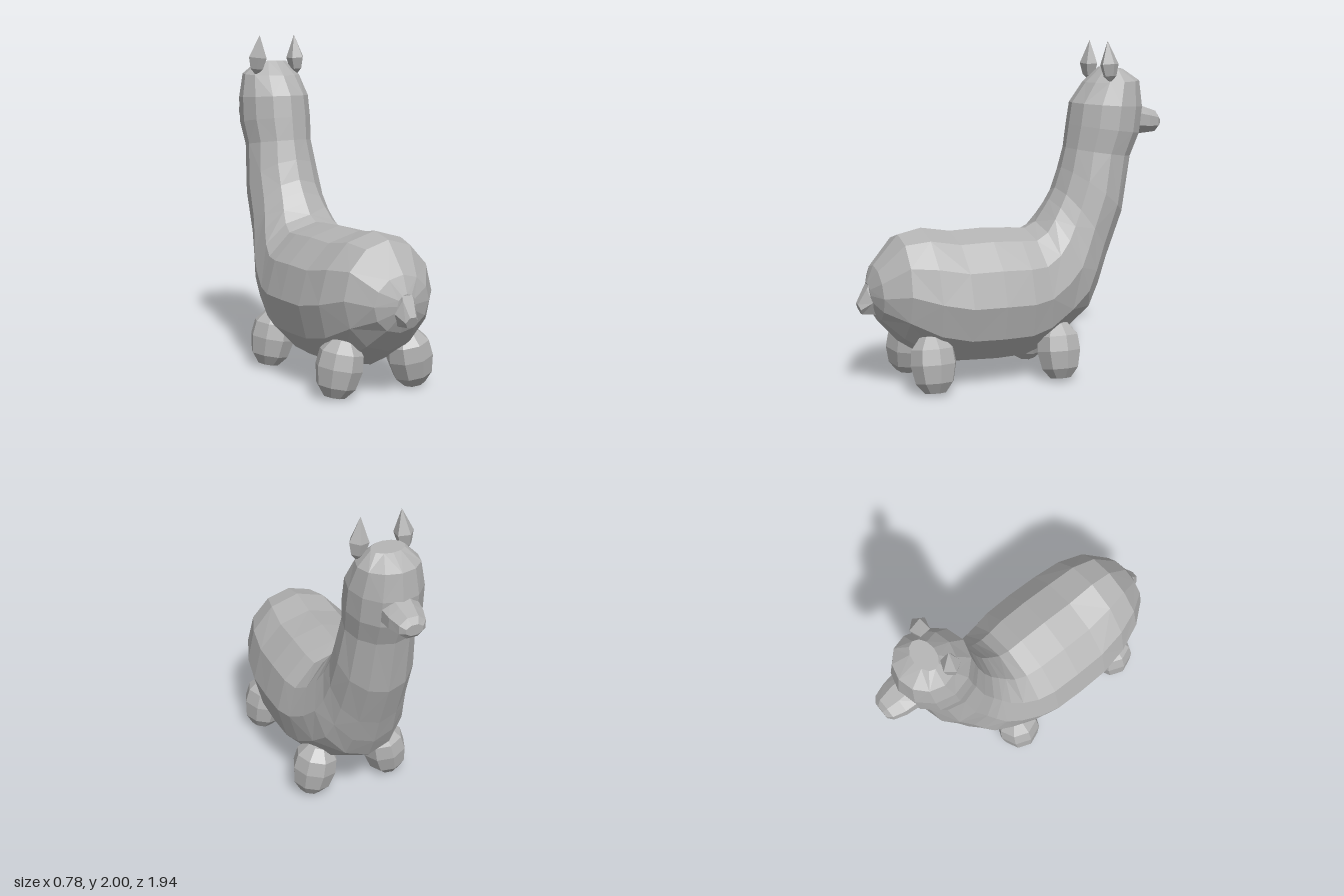
import * as THREE from 'three';

const wool = new THREE.MeshStandardMaterial({ color: 0xb3b3b3, flatShading: true });
wool.name = 'grey wool';

function part(name, geometry) {
  const mesh = new THREE.Mesh(geometry, wool);
  mesh.name = name;
  return mesh;
}

// Closed skin over rings running towards -z.
// Each ring: [top z, top y, bottom z, bottom y, half width]
function loft(rings, sides, turn = 0) {
  const pos = [], idx = [];
  for (const [tz, ty, bz, by, w] of rings) {
    for (let j = 0; j < sides; j++) {
      const a = ((j + turn) / sides) * Math.PI * 2;
      const c = Math.cos(a) / Math.cos((turn / sides) * Math.PI * 2);
      pos.push(w * Math.sin(a), (ty + by) / 2 + ((ty - by) / 2) * c, (tz + bz) / 2 + ((tz - bz) / 2) * c);
    }
  }
  const last = rings.length - 1;
  for (const i of [0, last]) {
    const [tz, ty, bz, by] = rings[i];
    pos.push(0, (ty + by) / 2, (tz + bz) / 2);
  }
  const start = rings.length * sides;
  for (let j = 0; j < sides; j++) {
    const k = (j + 1) % sides;
    for (let i = 0; i < last; i++) {
      const A = i * sides + j, B = i * sides + k, C = A + sides, D = B + sides;
      if ((i + j) % 2) idx.push(A, B, C, B, D, C);
      else idx.push(A, B, D, A, D, C);
    }
    idx.push(start, k, j, start + 1, last * sides + j, last * sides + k);
  }
  const g = new THREE.BufferGeometry();
  g.setAttribute('position', new THREE.Float32BufferAttribute(pos, 3));
  g.setIndex(idx);
  g.computeVertexNormals();
  return g;
}

function lathe(profile, sides) {
  return new THREE.LatheGeometry(profile.map(([r, y]) => new THREE.Vector2(r, y)), sides);
}

export function createModel() {
  const model = new THREE.Group();
  model.name = 'alpaca';

  // Body, neck and head in one skin, from rump to crown
  model.add(part('bodyNeckAndHead', loft([
    [0.91, 0.63, 0.9, 0.5, 0.06],
    [0.87, 0.73, 0.85, 0.40, 0.18],
    [0.72, 0.90, 0.73, 0.27, 0.29],
    [0.58, 0.93, 0.55, 0.15, 0.355],
    [0.40, 0.90, 0.38, 0.11, 0.385],
    [0.20, 0.905, 0.18, 0.10, 0.39],
    [0.02, 0.895, 0.00, 0.105, 0.385],
    [-0.08, 0.885, -0.14, 0.15, 0.36],
    [-0.15, 0.92, -0.32, 0.26, 0.325],
    [-0.20, 0.99, -0.46, 0.36, 0.29],
    [-0.24, 1.05, -0.53, 0.50, 0.26],
    [-0.28, 1.12, -0.59, 0.67, 0.24],
    [-0.32, 1.24, -0.70, 0.95, 0.23],
    [-0.35, 1.36, -0.76, 1.30, 0.205],
    [-0.37, 1.50, -0.82, 1.44, 0.22],
    [-0.39, 1.63, -0.84, 1.60, 0.215],
    [-0.48, 1.75, -0.82, 1.76, 0.18],
    [-0.58, 1.84, -0.71, 1.83, 0.10],
  ], 12)));

  // Blunt muzzle
  model.add(part('muzzle', loft([
    [-0.78, 1.62, -0.78, 1.43, 0.12],
    [-0.87, 1.59, -0.87, 1.435, 0.11],
    [-0.945, 1.565, -0.94, 1.44, 0.085],
    [-0.97, 1.53, -0.965, 1.465, 0.055],
  ], 8, 0.5)));

  // Short pointed tail
  model.add(part('tail', loft([
    [0.97, 0.51, 0.945, 0.45, 0.04],
    [0.92, 0.60, 0.87, 0.445, 0.07],
    [0.85, 0.74, 0.80, 0.42, 0.04],
  ], 6, 0.5)));

  // Mirrored stubby legs and ears
  const legProfile = [[0, -0.17], [0.065, -0.165], [0.115, -0.105], [0.138, 0], [0.128, 0.09], [0.07, 0.16], [0, 0.17]];
  const earProfile = [[0, -0.1], [0.04, -0.06], [0.058, 0.01], [0, 0.15]];
  for (const [side, s] of [['left', -1], ['right', 1]]) {
    for (const [end, z] of [['front', -0.2], ['back', 0.59]]) {
      const leg = part(`${side}${end === 'front' ? 'Front' : 'Back'}Leg`, lathe(legProfile, 8));
      leg.position.set(s * 0.238, 0.175, z);
      leg.rotation.z = s * 0.2;
      model.add(leg);
    }
    const ear = part(`${side}Ear`, lathe(earProfile, 5));
    ear.position.set(s * 0.135, 1.85, -0.57);
    ear.rotation.z = s * 0.1;
    ear.rotation.y = s * 0.4;
    model.add(ear);
  }
  return model;
}
